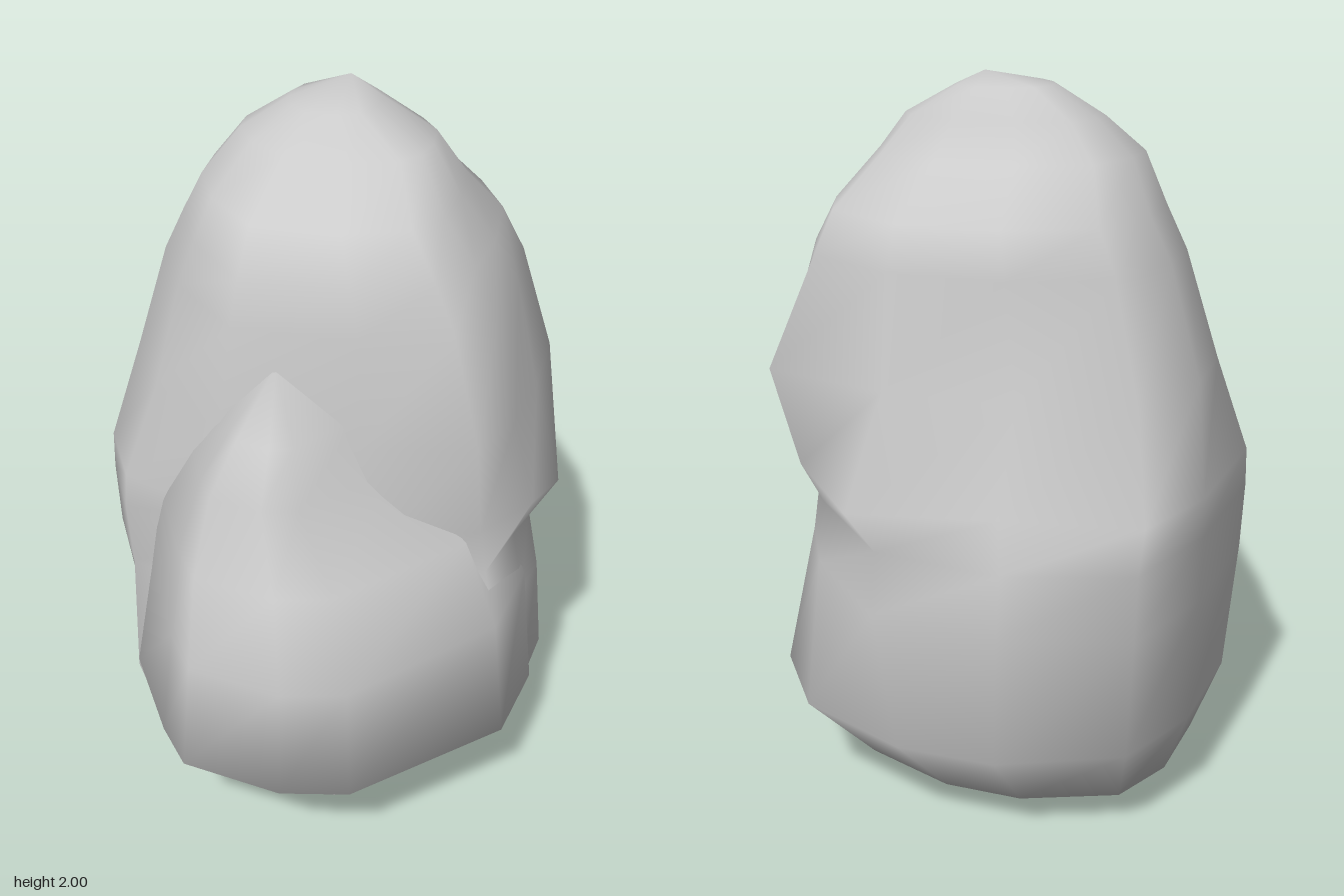
import * as THREE from 'three';

// Outlines seen from above, in the range -1..1, running left edge -> front -> right edge -> back
const BASE_PLAN = [
  [-1, 0.07], [-0.83, 0.48], [-0.38, 0.98], [0.31, 0.98], [0.89, 0.48], [0.97, 0.13], [1, -0.13],
  [0.86, -0.56], [0.55, -0.86], [0.03, -1], [-0.39, -0.97], [-0.86, -0.74], [-1, -0.4],
];
const MID_PLAN = [
  [-1, 0.45], [-0.81, 0.79], [-0.3, 1], [0.35, 1], [0.9, 0.84], [0.97, 0.5], [1, 0.25],
  [0.87, -0.2], [0.65, -0.56], [0.18, -0.98], [-0.38, -1], [-0.88, -0.78], [-1, -0.25],
];
const BODY_PLAN = [
  [-1, 0.45], [-0.81, 0.79], [-0.3, 1], [0.35, 0.98], [0.75, 0.8], [0.92, 0.5], [1, 0.28],
  [0.85, -0.17], [0.64, -0.55], [0.2, -1], [-0.36, -0.82], [-0.89, -0.67], [-1, -0.25],
];
const UPPER_PLAN = [
  [-0.96, 0.22], [-0.72, 0.65], [-0.3, 1], [0.35, 0.98], [0.85, 0.86], [0.96, 0.5], [1, 0.1],
  [1, -0.38], [0.83, -0.87], [0.2, -1], [-0.4, -0.95], [-0.87, -0.75], [-1, -0.25],
];
const HEAD_PLAN = [
  [-0.96, 0.15], [-0.72, 0.6], [-0.3, 1], [0.35, 0.98], [0.8, 0.8], [0.96, 0.5], [1, 0.1],
  [0.95, -0.38], [0.74, -0.76], [0.2, -1], [-0.4, -0.95], [-0.87, -0.7], [-1, -0.25],
];
const LOBE_PLAN = [
  [-1, 0.2], [-0.68, 0.71], [-0.5, 0.93], [0, 1], [0.32, 0.91],
  [0.93, 0.22], [1, -0.27], [0.8, -1], [-0.6, -1], [-0.95, -0.3],
];

// Each level is [plan, y, xMin, xMax, zMin, zMax]; the plan is stretched to fit it
const BODY_LEVELS = [
  [BASE_PLAN, 0.1, -0.57, 0.45, -0.6, 0.46],
  [BASE_PLAN, 0.29, -0.64, 0.64, -0.76, 0.72],
  [MID_PLAN, 0.65, -0.66, 0.62, -0.75, 0.41],
  [MID_PLAN, 0.84, -0.67, 0.58, -0.77, 0.41],
  [BODY_PLAN, 0.95, -0.67, 0.66, -0.8, 0.41],
  [UPPER_PLAN, 1.23, -0.62, 0.57, -0.65, 0.41],
  [HEAD_PLAN, 1.53, -0.53, 0.5, -0.62, 0.39],
  [HEAD_PLAN, 1.65, -0.47, 0.43, -0.6, 0.36],
  [HEAD_PLAN, 1.78, -0.39, 0.34, -0.43, 0.31],
  [HEAD_PLAN, 1.88, -0.31, 0.24, -0.37, 0.08],
  [HEAD_PLAN, 1.96, -0.18, 0.08, -0.32, -0.04],
];
const LOBE_LEVELS = [
  [LOBE_PLAN, 0.14, -0.44, 0.4, -0.3, 0.46],
  [LOBE_PLAN, 0.31, -0.53, 0.64, -0.3, 0.76],
  [LOBE_PLAN, 0.7, -0.45, 0.6, -0.3, 0.8],
  [LOBE_PLAN, 0.92, -0.43, 0.49, -0.28, 0.69],
  [LOBE_PLAN, 1.13, -0.32, 0.27, -0.1, 0.61],
  [LOBE_PLAN, 1.29, -0.2, 0.17, 0.05, 0.56],
];

// Closed stone surface: stacked rings, with a point at the bottom and the top
function stone(name, levels, bottom, top) {
  const positions = [];
  const faces = [];
  const n = levels[0][0].length;
  for (const [plan, y, x0, x1, z0, z1] of levels) {
    for (const [u, v] of plan) {
      positions.push((x0 + x1) / 2 + (u * (x1 - x0)) / 2, y, (z0 + z1) / 2 + (v * (z1 - z0)) / 2);
    }
  }
  const low = levels.length * n;
  const high = low + 1;
  const last = low - n;
  positions.push(...bottom, ...top);
  for (let j = 0; j < n; j++) {
    const k = (j + 1) % n;
    for (let r = 0; r < last; r += n) {
      faces.push(r + j, r + k, r + n + k, r + j, r + n + k, r + n + j);
    }
    faces.push(k, j, low, last + j, last + k, high);
  }
  const geometry = new THREE.BufferGeometry();
  geometry.setAttribute('position', new THREE.Float32BufferAttribute(positions, 3));
  geometry.setIndex(faces);
  geometry.computeVertexNormals();
  const mesh = new THREE.Mesh(geometry, new THREE.MeshStandardMaterial({ color: 0xcccccc }));
  mesh.name = name;
  return mesh;
}

export function createModel() {
  const group = new THREE.Group();
  group.name = 'boulder';
  // Tall rock with a broad foot
  group.add(stone('mainRock', BODY_LEVELS, [0, 0, -0.13], [-0.03, 2, -0.28]));
  // Lower shoulder rising from the foot at the front
  group.add(stone('frontRock', LOBE_LEVELS, [0, 0.12, 0.1], [-0.05, 1.43, 0.38]));
  return group;
}
